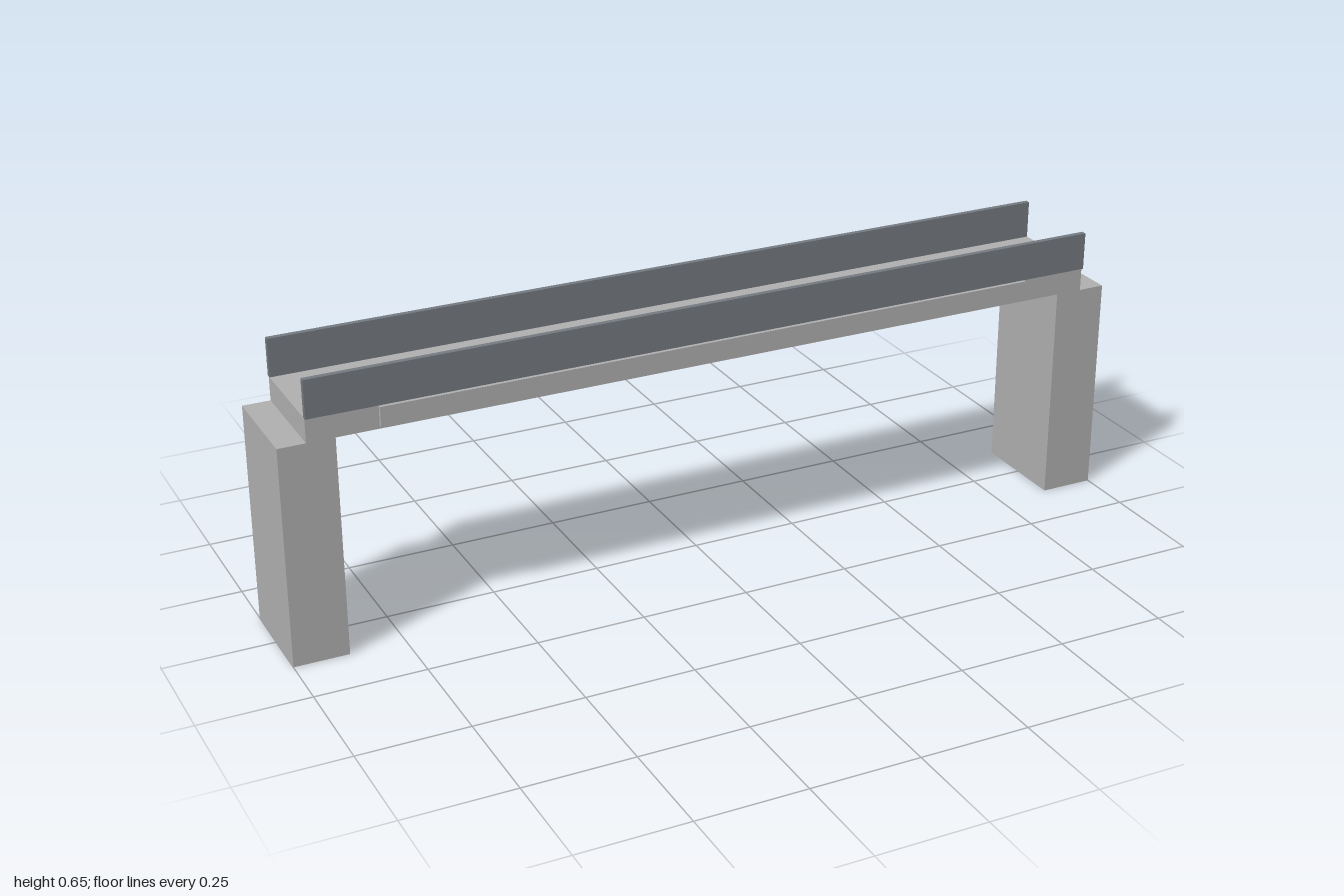
import * as THREE from 'three';

export function createModel() {
  const model = new THREE.Group();
  model.name = 'beamBridge';

  const concrete = new THREE.MeshStandardMaterial({ color: 0xafafaf });
  concrete.name = 'concrete grey';
  const steel = new THREE.MeshStandardMaterial({ color: 0x747a80 });
  steel.name = 'barrier grey';

  // Box spanning y0..y1, centred on (x, z)
  const addBox = (name, material, width, y0, y1, depth, x, z) => {
    const mesh = new THREE.Mesh(new THREE.BoxGeometry(width, y1 - y0, depth), material);
    mesh.name = name;
    mesh.position.set(x, (y0 + y1) / 2, z);
    model.add(mesh);
  };

  // Road deck resting on the piers
  addBox('deck', concrete, 1.876, 0.507, 0.562, 0.235, 0, 0);

  for (const s of [1, -1]) {
    // End piers
    addBox(s > 0 ? 'leftPier' : 'rightPier', concrete, 0.125, 0, 0.507, 0.235, s * 0.9375, 0);
    // Parapet walls along the deck edges
    addBox(s > 0 ? 'frontParapet' : 'backParapet', steel, 1.876, 0.562, 0.649, 0.0125, 0, s * 0.1175);
    // Shallow girders on the deck sides
    addBox(s > 0 ? 'frontGirder' : 'backGirder', concrete, 1.56, 0.513, 0.559, 0.0085, 0, s * 0.1217);
  }

  return model;
}
